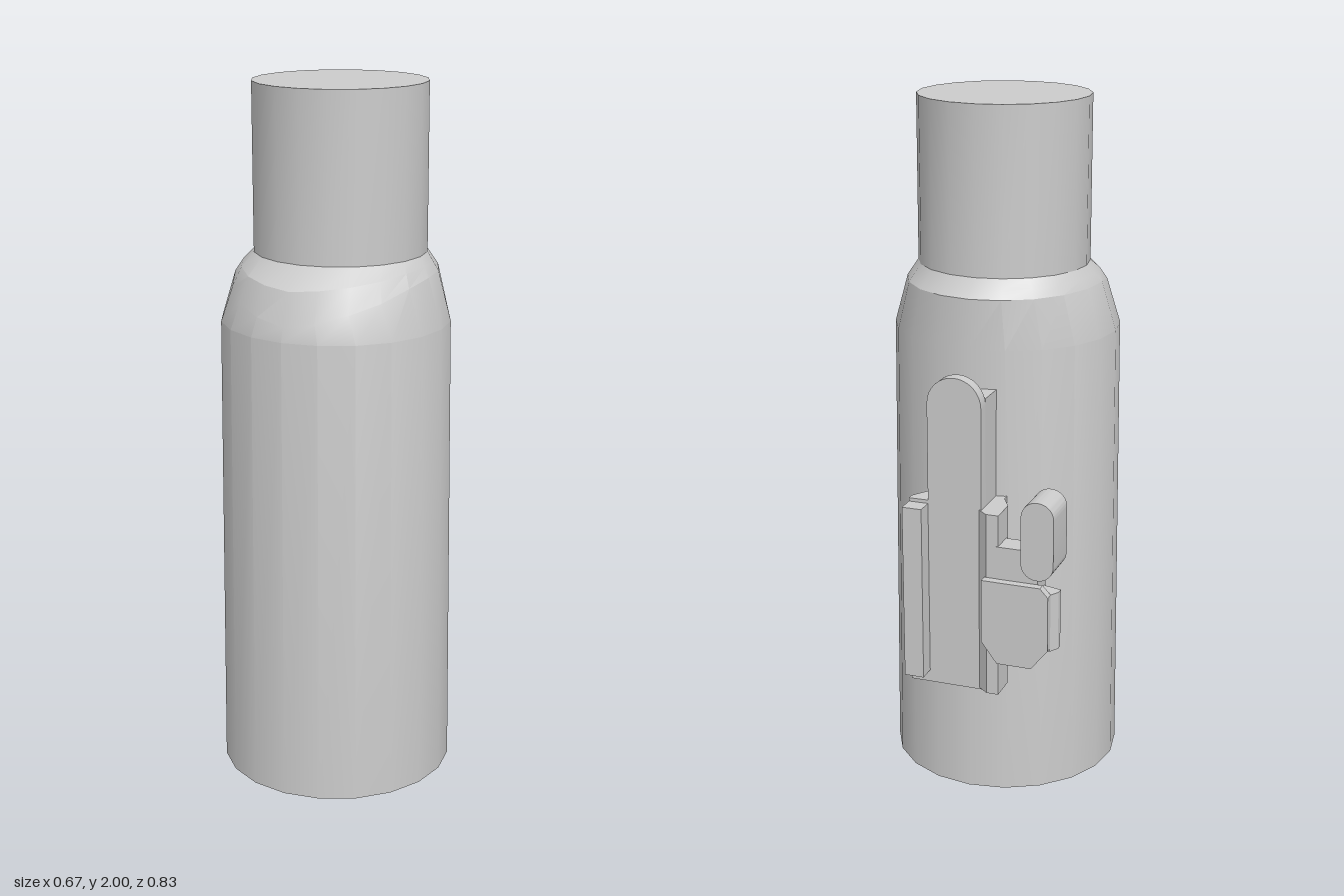
import * as THREE from 'three';
import { toCreasedNormals } from 'three/addons/utils/BufferGeometryUtils.js';

const SIDES = 20;
const material = new THREE.MeshStandardMaterial({ color: 0xcccccc });

function addMesh(parent, name, geometry, crease = 0.36) {
  const mesh = new THREE.Mesh(toCreasedNormals(geometry, crease), material);
  mesh.name = name;
  parent.add(mesh);
}

function shapeOf(points) {
  return new THREE.Shape(points.map(([a, b]) => new THREE.Vector2(a, b)));
}

// Outline in x and y, extruded from z0 to z1
function alongZ(shape, z0, z1) {
  const g = new THREE.ExtrudeGeometry(shape, { depth: z1 - z0, bevelEnabled: false, curveSegments: 8 });
  return g.translate(0, 0, z0);
}

// Outline in x and z, extruded from y0 to y1
function alongY(points, y0, y1) {
  const g = new THREE.ExtrudeGeometry(shapeOf(points.map(([x, z]) => [x, -z])), { depth: y1 - y0, bevelEnabled: false });
  return g.rotateX(-Math.PI / 2).translate(0, y0, 0);
}

function box(x0, x1, y0, y1, z0, z1) {
  return new THREE.BoxGeometry(x1 - x0, y1 - y0, z1 - z0)
    .translate((x0 + x1) / 2, (y0 + y1) / 2, (z0 + z1) / 2);
}

function roundedRect(x0, x1, y0, y1, r) {
  const s = new THREE.Shape();
  s.absarc(x1 - r, y0 + r, r, -Math.PI / 2, 0);
  s.absarc(x1 - r, y1 - r, r, 0, Math.PI / 2);
  s.absarc(x0 + r, y1 - r, r, Math.PI / 2, Math.PI);
  s.absarc(x0 + r, y0 + r, r, Math.PI, Math.PI * 1.5);
  return s;
}

// Closed skin over rings; each ring maps an angle (0 = front) to a point
function loft(rings) {
  const pos = [], index = [];
  for (const ring of rings) {
    for (let i = 0; i < SIDES; i++) pos.push(...ring(i / SIDES * Math.PI * 2));
  }
  for (let r = 0; r < rings.length - 1; r++) {
    for (let i = 0; i < SIDES; i++) {
      const j = (i + 1) % SIDES, a = r * SIDES, b = a + SIDES;
      index.push(a + i, a + j, b + j, a + i, b + j, b + i);
    }
  }
  const top = (rings.length - 1) * SIDES;
  for (let i = 1; i < SIDES - 1; i++) {
    index.push(0, i + 1, i, top, top + i, top + i + 1);
  }
  const g = new THREE.BufferGeometry();
  g.setAttribute('position', new THREE.Float32BufferAttribute(pos, 3));
  g.setIndex(index);
  return g;
}

const circle = (r, cz, y) => t => [r * Math.sin(t), y, cz + r * Math.cos(t)];

// Sloping crease where the shoulder begins: low in front, high at the sides and back
function shoulderCrease(t) {
  const fromFront = Math.min(t, Math.PI * 2 - t);
  const rise = Math.min(1, fromFront / 1.4) ** 1.25;
  return [0.283 * Math.sin(t), 1.38 + 0.1 * rise, 0.0775 + 0.3175 * Math.cos(t)];
}

// Softens the slope between the crease and the neck
function shoulderMiddle(t) {
  const a = shoulderCrease(t), b = circle(0.245, 0.05, 1.53)(t);
  const bulge = 0.025 * Math.max(0, Math.cos(t));
  return a.map((v, i) => (v + b[i]) / 2 + (i === 0 ? 0 : bulge * 0.6));
}

export function createModel() {
  const model = new THREE.Group();

  // Tapered body with shoulder and neck
  addMesh(model, 'body', loft([
    circle(0.337, 0.08, 0),
    circle(0.325, 0.08, 1.34),
    shoulderCrease,
    shoulderMiddle,
    circle(0.245, 0.05, 1.53),
  ]));
  addMesh(model, 'neck', loft([circle(0.245, 0.05, 1.52), circle(0.245, 0.05, 2)]));

  // Mount on the back
  const mount = new THREE.Group();
  mount.name = 'mount';
  model.add(mount);
  addMesh(mount, 'tongue', box(-0.077, 0.08, 0.375, 1.23, -0.32, -0.2));
  const lip = new THREE.Shape();
  lip.moveTo(-0.077, 0.375);
  lip.lineTo(0.08, 0.375);
  lip.absarc(0.0015, 1.2115, 0.0785, 0, Math.PI);
  addMesh(mount, 'tongueLip', alongZ(lip, -0.357, -0.32));

  // Flared wings beside the tongue, with the rail on the left one
  addMesh(mount, 'leftWing', alongY(
    [[0.07, -0.2], [0.08, -0.25], [0.137, -0.335], [0.137, -0.357], [0.07, -0.357]], 0.375, 0.93));
  addMesh(mount, 'rail', box(0.08, 0.137, 0.41, 0.92, -0.408, -0.335));
  addMesh(mount, 'rightWing', alongY(
    [[-0.07, -0.2], [-0.07, -0.357], [-0.1, -0.382], [-0.135, -0.382], [-0.135, -0.3], [-0.107, -0.25], [-0.107, -0.21]],
    0.38, 0.92));

  // Lever: block, chamfered cover, link and rounded thumb bar
  const lever = new THREE.Group();
  lever.name = 'lever';
  mount.add(lever);
  addMesh(lever, 'leverBlock', alongY(
    [[-0.13, -0.3], [-0.13, -0.386], [-0.287, -0.386], [-0.303, -0.36], [-0.303, -0.34], [-0.21, -0.315]], 0.54, 0.71));
  addMesh(lever, 'leverCover', alongZ(shapeOf(
    [[-0.14, 0.49], [-0.24, 0.49], [-0.288, 0.55], [-0.288, 0.71], [-0.265, 0.735], [-0.095, 0.735], [-0.095, 0.55]]
  ), -0.409, -0.384));
  addMesh(lever, 'leverLink', box(-0.25, -0.13, 0.69, 0.83, -0.385, -0.315));
  addMesh(lever, 'thumbBar', alongZ(roundedRect(-0.305, -0.212, 0.76, 0.985, 0.045), -0.417, -0.298));

  return model;
}
